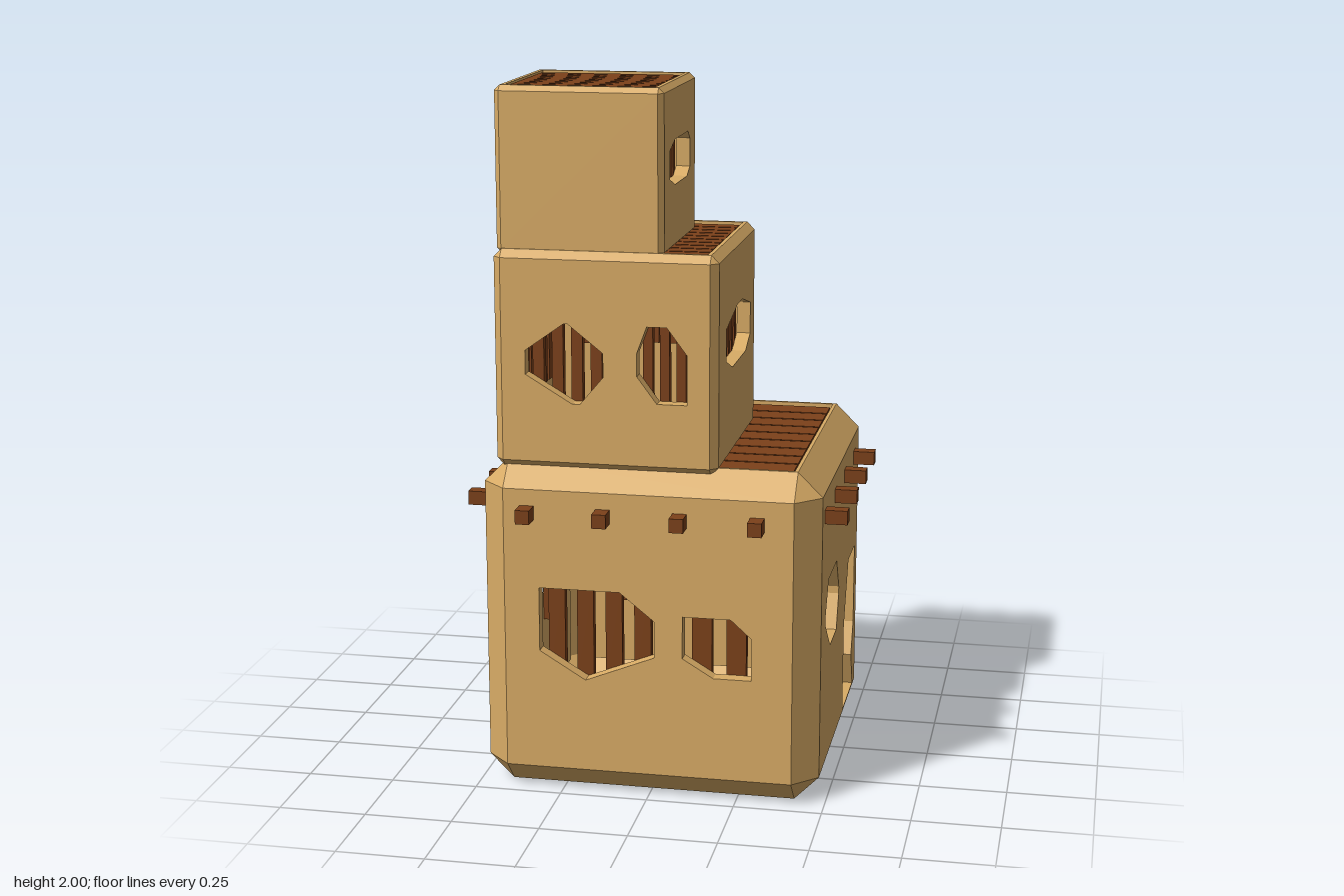
import * as THREE from 'three';

const clay = new THREE.MeshStandardMaterial({ color: 0xd9ac66, flatShading: true, side: THREE.DoubleSide });
const wood = new THREE.MeshStandardMaterial({ color: 0x7c411a, flatShading: true });
const WALL = 0.04;

function addMesh(parent, geometry, material, name, x = 0, y = 0, z = 0) {
  const mesh = new THREE.Mesh(geometry, material);
  mesh.name = name;
  mesh.position.set(x, y, z);
  parent.add(mesh);
  return mesh;
}

// Rough opening: a rectangle whose corners are cut. Cuts run top left, top right,
// bottom right, bottom left as parts of the width; rise is their part of the height.
function opening(left, right, bottom, top, cuts, rise, notch = 0) {
  const [tl, tr, br, bl] = cuts;
  const corner = (cut, x, dir, y, up) => (cut ? [[x, y + up * rise], [x + dir * cut, y]] : [[x, y]]);
  const pts = [
    ...corner(tl, 0, 1, 1, -1),
    ...corner(tr, 1, -1, 1, -1).reverse(),
    ...(notch ? [[1, 0.45], [1 - notch, 0.24]] : []),
    ...corner(br, 1, -1, 0, 1),
    ...corner(bl, 0, 1, 0, 1).reverse(),
  ];
  return pts.map(([u, v]) => new THREE.Vector2(left + u * (right - left), bottom + v * (top - bottom)));
}

const rect = (w, h) => opening(-w, w, -h, h, [0, 0, 0, 0], 0);

// Flat panel with holes; its outer face lies on local z = 0
function panel(halfW, halfH, holes, depth = WALL) {
  const shape = new THREE.Shape(rect(halfW, halfH));
  holes.forEach(h => shape.holes.push(new THREE.Path(h)));
  return new THREE.ExtrudeGeometry(shape, { depth, bevelEnabled: false }).translate(0, 0, -depth);
}

// The 12 edge strips and 8 corner triangles of a chamfered box
function chamfers(half, b) {
  const pos = [];
  const at = (signs, full) => new THREE.Vector3(...signs.map((s, i) => s * (half[i] - (i === full ? 0 : b))));
  const tri = (p, q, r) => {
    const n = q.clone().sub(p).cross(r.clone().sub(p));
    (n.dot(p) > 0 ? [p, q, r] : [p, r, q]).forEach(v => pos.push(v.x, v.y, v.z));
  };
  for (const s of [-1, 1]) for (const t of [-1, 1]) {
    for (let axis = 0; axis < 3; axis++) {
      const i = (axis + 1) % 3, j = (axis + 2) % 3;
      const lo = [0, 0, 0], hi = [0, 0, 0];
      lo[i] = hi[i] = s;
      lo[j] = hi[j] = t;
      lo[axis] = -1;
      hi[axis] = 1;
      tri(at(lo, i), at(hi, i), at(hi, j));
      tri(at(lo, i), at(hi, j), at(lo, j));
    }
    for (const u of [-1, 1]) tri(at([s, t, u], 0), at([s, t, u], 1), at([s, t, u], 2));
  }
  const g = new THREE.BufferGeometry();
  g.setAttribute('position', new THREE.Float32BufferAttribute(pos, 3));
  g.computeVertexNormals();
  return g;
}

// Upright slats behind one opening
function addSlats(parent, pts, pitch) {
  const { min, max } = new THREE.Box2().setFromPoints(pts);
  const n = Math.round((max.x - min.x) / pitch), step = (max.x - min.x) / n;
  for (let i = 0; i < n; i++) {
    addMesh(parent, new THREE.BoxGeometry(step * 0.58, max.y - min.y + 0.02, 0.025), wood, 'windowSlat',
      min.x + (i + 0.5) * step, (min.y + max.y) / 2, -WALL - 0.0125);
  }
}

// One hollow room; openings are listed per side, left to right as seen from outside
function buildRoom(name, t) {
  const group = new THREE.Group();
  group.name = name;
  const c = [t.x, t.y, t.z].map(r => (r[0] + r[1]) / 2);
  const [hx, hy, hz] = [t.x, t.y, t.z].map(r => (r[1] - r[0]) / 2);
  group.position.set(...c);
  addMesh(group, chamfers([hx, hy, hz], t.bevel), clay, 'chamferedEdges');

  // Four walls with irregular openings
  const sides = [
    ['front', 0, 1, c[0], hx, hz], ['left', Math.PI / 2, -1, c[2], hz, hx],
    ['back', Math.PI, -1, c[0], hx, hz], ['right', -Math.PI / 2, 1, c[2], hz, hx],
  ];
  for (const [side, turn, sign, mid, halfW, out] of sides) {
    const face = new THREE.Group();
    face.name = side + 'Side';
    face.rotation.y = turn;
    face.position.set(Math.sin(turn) * out, 0, Math.cos(turn) * out);
    group.add(face);
    const holes = (t[side] || []).map(([l, r, b, top, ...rest]) =>
      opening(sign * (l - mid), sign * (r - mid), b - c[1], top - c[1], ...rest));
    addMesh(face, panel(halfW - t.bevel, hy - t.bevel, holes), clay, side + 'Wall');
    holes.forEach(h => addSlats(face, h, t.pitch));
  }

  // Floor, roof rim and the bed under the planks
  const w = hx - t.bevel, d = hz - t.bevel;
  addMesh(group, new THREE.BoxGeometry(2 * w, 0.01, 2 * d), clay, 'floor', 0, -hy + 0.005, 0);
  const rim = addMesh(group, panel(w, d, [rect(hx - t.inset, hz - t.inset)], 0.02), clay, 'roofRim', 0, hy, 0);
  rim.rotation.x = -Math.PI / 2;
  addMesh(group, new THREE.BoxGeometry(2 * w, 0.01, 2 * d), clay, 'roofBed', 0, hy - 0.02, 0);

  // Roof planks, leaving a wider bare strip at the back
  const z0 = -hz + t.inset + 0.025, z1 = hz - t.inset - 0.004, step = (z1 - z0) / t.planks;
  for (let i = 0; i < t.planks; i++) {
    addMesh(group, new THREE.BoxGeometry(2 * (hx - t.inset) - 0.01, 0.012, step - 0.007), wood, 'roofPlank',
      0, hy - 0.01, z0 + (i + 0.5) * step);
  }
  return group;
}

export function createModel() {
  const model = new THREE.Group();
  model.name = 'adobeTower';

  model.add(buildRoom('lowerRoom', {
    x: [-0.48, 0.48], y: [0, 0.96], z: [-0.48, 0.48], bevel: 0.07, planks: 9, inset: 0.08, pitch: 0.08,
    front: [[-0.31, 0.02, 0.34, 0.605, [0, 0.3, 0.6, 0.4], 0.3], [0.1, 0.295, 0.37, 0.545, [0, 0.3, 0, 0.45], 0.3]],
    left: [
      [0.32, 0.025, 0.395, 0.61, [0.2, 0.2, 0.15, 0.38], 0.45],
      [-0.115, -0.355, 0.075, 0.525, [0.37, 0, 0, 0], 0.4, 0.18],
    ],
    back: [[0.3, 0.04, 0.28, 0.61, [0.3, 0.65, 0.2, 0.65], 0.35], [-0.16, -0.32, 0.29, 0.52, [0, 0.5, 0, 0.1], 0.4]],
    right: [
      [-0.24, -0.05, 0.33, 0.53, [0.8, 0.15, 0.5, 0.2], 0.45],
      [0.18, 0.4, 0.28, 0.5, [0.35, 0.1, 0.35, 0.5], 0.35],
    ],
  }));

  model.add(buildRoom('middleRoom', {
    x: [-0.44, 0.19], y: [0.94, 1.555], z: [-0.19, 0.44], bevel: 0.022, planks: 10, inset: 0.033, pitch: 0.053,
    front: [
      [-0.35, -0.13, 1.13, 1.355, [0.5, 0.45, 0.3, 0.6], 0.35],
      [-0.035, 0.105, 1.14, 1.355, [0.2, 0.4, 0, 0.4], 0.35],
    ],
    left: [[0.3, -0.1, 1.2, 1.365, [0.45, 0.35, 0.2, 0.25], 0.22]],
    back: [
      [0.03, -0.13, 1.2, 1.36, [0.5, 0.4, 0.3, 0.4], 0.3],
      [-0.23, -0.35, 1.19, 1.33, [0, 0.4, 0, 0.3], 0.45],
    ],
    right: [[-0.02, 0.39, 1.12, 1.36, [0.25, 0.5, 0.45, 0], 0.15]],
  }));

  model.add(buildRoom('upperRoom', {
    x: [-0.435, 0.035], y: [1.54, 2], z: [-0.055, 0.415], bevel: 0.015, planks: 9, inset: 0.027, pitch: 0.062,
    left: [[0.32, 0.035, 1.72, 1.845, [0.25, 0.1, 0.15, 0.25], 0.18]],
  }));

  // Beam ends poking out around the lower room
  for (const s of [-1, 1]) for (let i = 0; i < 4; i++) {
    const off = i * 0.217;
    addMesh(model, new THREE.BoxGeometry(0.13, 0.04, 0.04), wood, 'sideBeamEnd', s * 0.478, 0.823, -0.305 + off);
    addMesh(model, new THREE.BoxGeometry(0.04, 0.04, 0.13), wood, 'frontBeamEnd', -0.342 + off, 0.823, s * 0.468);
  }
  return model;
}
